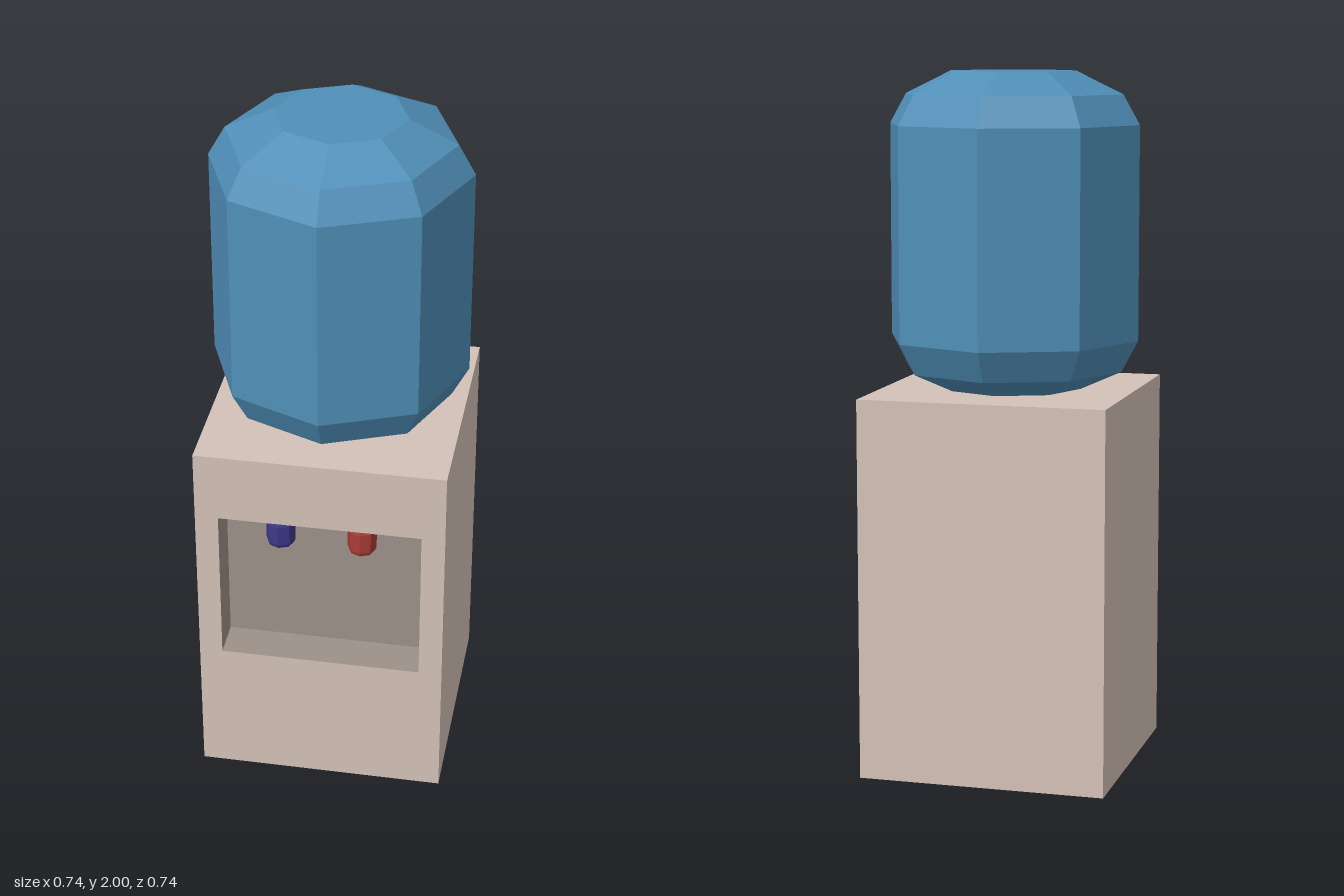
import * as THREE from 'three';

const mat = (name, color) => {
  const m = new THREE.MeshStandardMaterial({ color });
  m.name = name;
  m.flatShading = true;
  return m;
};

// Box with its +z face removed
function openBox(w, h, d) {
  const g = new THREE.BoxGeometry(w, h, d);
  const index = Array.from(g.index.array);
  index.splice(24, 6);
  g.setIndex(index);
  g.clearGroups();
  return g;
}

// Eight-sided turned solid from [radius, height] pairs, bottom to top
function turned(profile) {
  return new THREE.LatheGeometry(profile.map(([r, y]) => new THREE.Vector2(r, y)), 8);
}

export function createModel() {
  const model = new THREE.Group();
  model.name = 'waterCooler';
  const beige = mat('beige', 0xd4c2b8);
  const shade = mat('darkBeige', 0x9c9189);
  const blue = mat('bottleBlue', 0x508fb8);
  const cold = mat('coldBlue', 0x3d3888);
  const hot = mat('hotRed', 0xa83c36);

  const add = (name, geometry, material, x = 0, y = 0, z = 0) => {
    const mesh = new THREE.Mesh(geometry, material);
    mesh.name = name;
    mesh.position.set(x, y, z);
    model.add(mesh);
  };

  const half = 0.357, height = 1.095;
  const left = -0.29, right = 0.29, low = 0.415, high = 0.89, depth = 0.115;

  // Cabinet shell and front panel with the dispenser opening
  add('cabinet', openBox(half * 2, height, half * 2), beige, 0, height / 2, 0);
  const panel = new THREE.Shape([
    new THREE.Vector2(-half, 0), new THREE.Vector2(half, 0),
    new THREE.Vector2(half, height), new THREE.Vector2(-half, height),
  ]);
  panel.holes.push(new THREE.Path([
    new THREE.Vector2(left, low), new THREE.Vector2(left, high),
    new THREE.Vector2(right, high), new THREE.Vector2(right, low),
  ]));
  add('frontPanel', new THREE.ShapeGeometry(panel), beige, 0, 0, half);

  // Recess: open box mirrored so its faces look inward
  const recess = openBox(right - left, high - low, depth);
  recess.scale(-1, 1, 1);
  recess.computeVertexNormals();
  add('recess', recess, shade, 0, (low + high) / 2, half - depth / 2);

  // Bottle
  add('bottle', turned([
    [0, 1.096], [0.2, 1.096], [0.32, 1.15], [0.368, 1.24],
    [0.368, 1.85], [0.32, 1.935], [0.185, 2], [0, 2],
  ]), blue);

  // Taps hanging from the recess ceiling
  const tap = turned([
    [0, 0.797], [0.026, 0.797], [0.037, 0.803], [0.042, 0.815],
    [0.042, 0.875], [0.037, 0.889], [0, 0.889],
  ]);
  add('coldTap', tap, cold, -0.118, 0, 0.313);
  add('hotTap', tap, hot, 0.115, 0, 0.313);

  return model;
}
